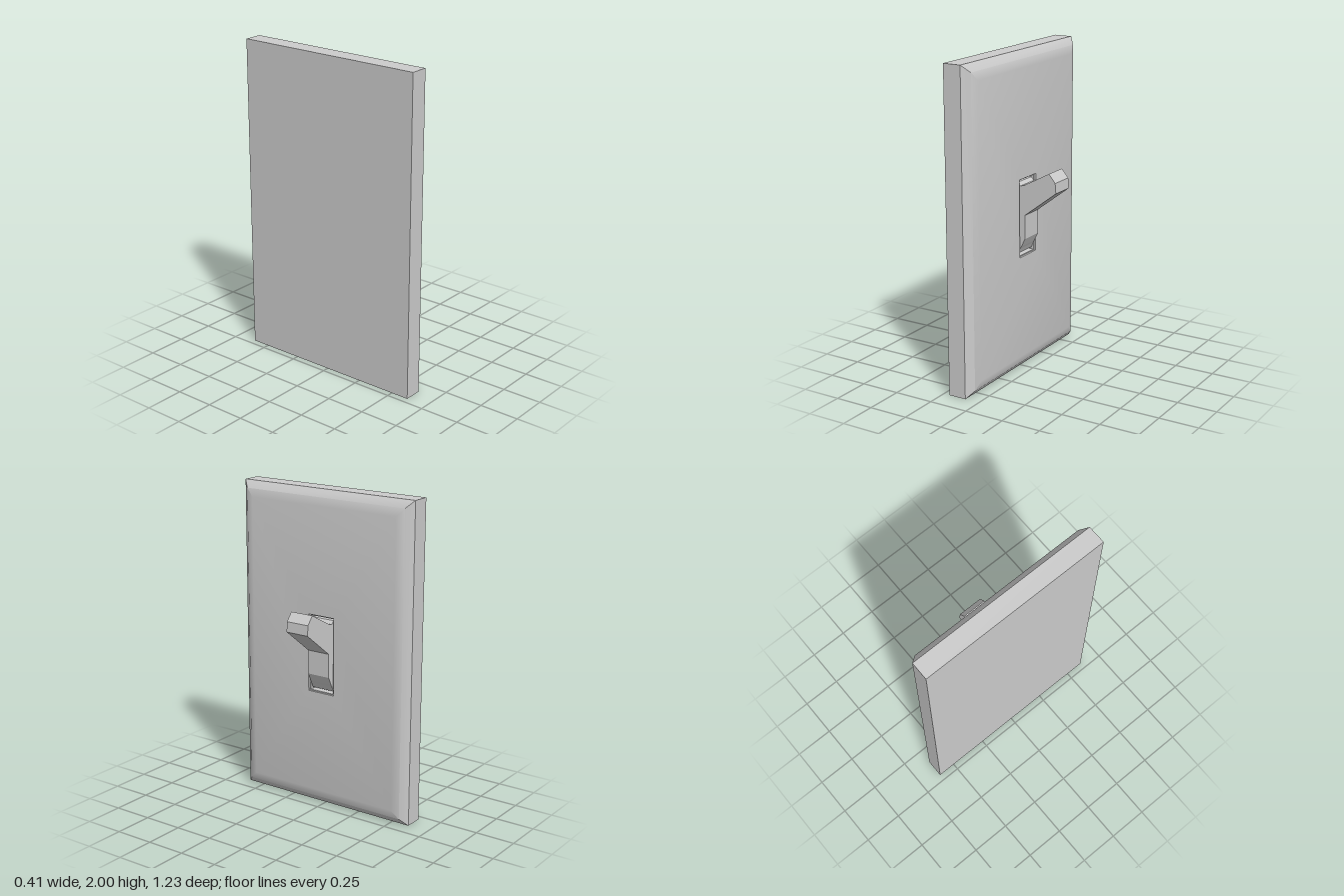
import * as THREE from 'three';
import { toCreasedNormals } from 'three/addons/utils/BufferGeometryUtils.js';

const grey = () => new THREE.MeshStandardMaterial({ color: 0xcccccc });

// Skin a stack of rectangular rings [x, centreY, halfHeight, halfDepth] and cap both ends.
function ringStack(rings) {
  const corners = [[-1, -1], [1, -1], [1, 1], [-1, 1]];
  const positions = [];
  const index = [];
  for (const [x, cy, h, d] of rings) {
    for (const [sy, sz] of corners) positions.push(x, cy + sy * h, sz * d);
  }
  for (let r = 0; r < rings.length - 1; r++) {
    for (let i = 0; i < 4; i++) {
      const j = (i + 1) % 4;
      const a = r * 4 + i, b = r * 4 + j;
      index.push(a, b, b + 4, a, b + 4, a + 4);
    }
  }
  const last = (rings.length - 1) * 4;
  index.push(0, 2, 1, 0, 3, 2, last, last + 1, last + 2, last, last + 2, last + 3);
  const geometry = new THREE.BufferGeometry();
  geometry.setAttribute('position', new THREE.Float32BufferAttribute(positions, 3));
  geometry.setIndex(index);
  return toCreasedNormals(geometry, 0.6);
}

export function createModel() {
  const group = new THREE.Group();

  // Wall plate: straight sides, softened front border, stepped slot with a floor
  const H = 1, D = 0.615;
  const plate = new THREE.Mesh(ringStack([
    [-0.21, 1, H, D],
    [-0.095, 1, H, D],
    [-0.055, 1, H - 0.045, D - 0.045],
    [-0.04, 1, H - 0.095, D - 0.095],
    [-0.037, 0.99, 0.245, 0.093],
    [-0.048, 0.99, 0.245, 0.093],
    [-0.048, 0.99, 0.238, 0.084],
    [-0.11, 0.99, 0.238, 0.084],
  ]), grey());
  plate.name = 'wallPlate';
  group.add(plate);

  // Toggle: rocker body in the slot with the lever tilted upward
  const profile = [
    [-0.11, 0.765], [-0.06, 0.765], [-0.045, 0.797], [-0.035, 0.815], [-0.01, 0.865],
    [-0.01, 1.015], [0.205, 1.18], [0.2, 1.243], [0.157, 1.295],
    [-0.018, 1.2], [-0.04, 1.195], [-0.06, 1.215], [-0.11, 1.215],
  ];
  const shape = new THREE.Shape(profile.map(([x, y]) => new THREE.Vector2(x, y)));
  const toggleGeometry = new THREE.ExtrudeGeometry(shape, { depth: 0.154, bevelEnabled: false });
  toggleGeometry.translate(0, 0, -0.077);
  const toggle = new THREE.Mesh(toggleGeometry, grey());
  toggle.name = 'toggleLever';
  group.add(toggle);

  return group;
}
